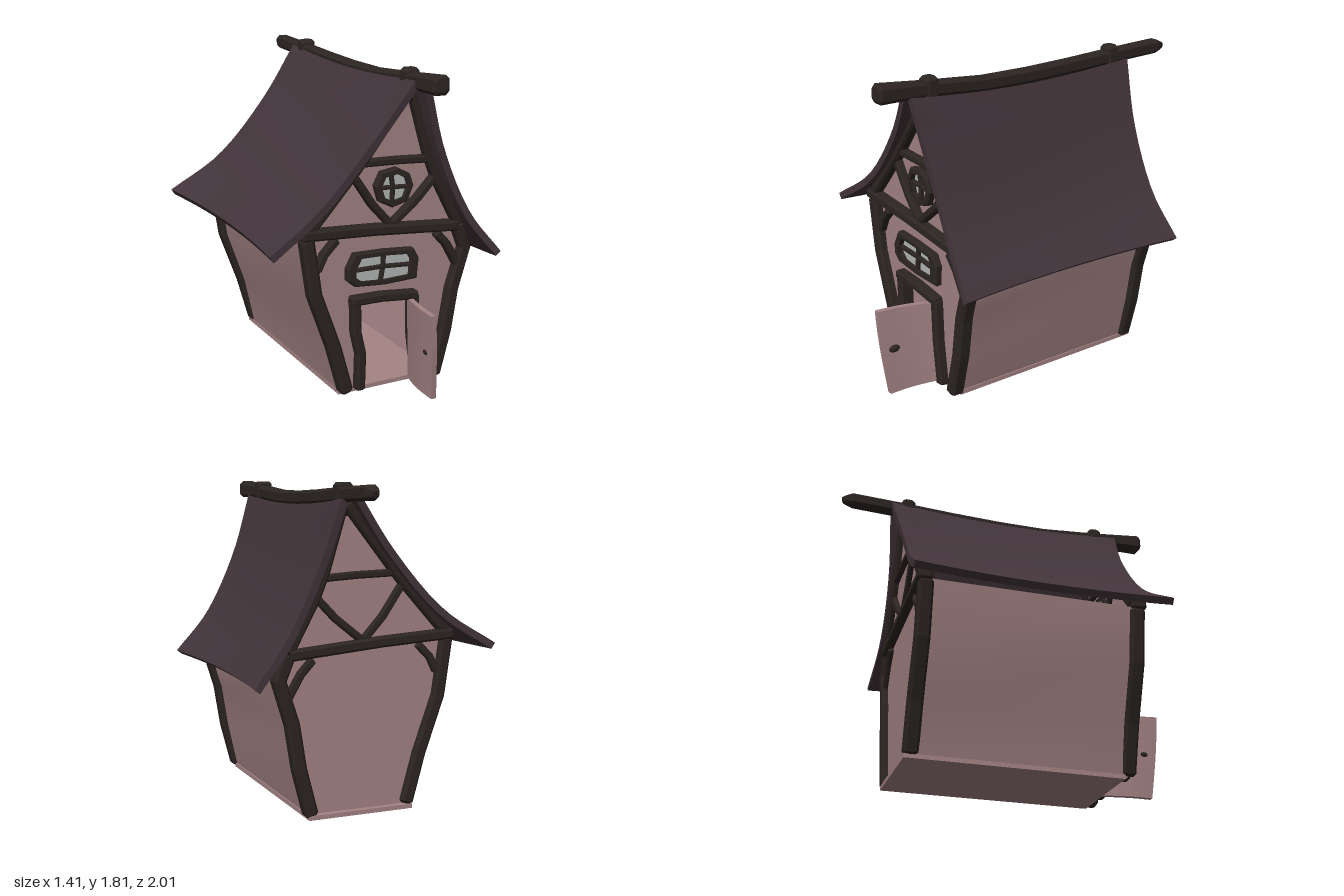
import * as THREE from 'three';

const mat = (color, flatShading = false) =>
  new THREE.MeshStandardMaterial({ color, flatShading, side: THREE.DoubleSide });
const plaster = mat(0xa58485), timber = mat(0x2c2522, true), thatch = mat(0x42343a), pane = mat(0xb4b9b8);

const FRONT = 0.645, BACK = -0.6;

function add(parent, name, geometry, material) {
  const mesh = new THREE.Mesh(geometry, material);
  mesh.name = name;
  parent.add(mesh);
  return mesh;
}

// Geometry from rings of equal length, closed around and capped at both ends
function loft(rings) {
  const n = rings[0].length, pos = rings.flat().flatMap(p => p.toArray()), idx = [];
  for (let r = 0; r < rings.length - 1; r++)
    for (let i = 0; i < n; i++) {
      const a = r * n + i, b = r * n + (i + 1) % n;
      idx.push(a, b, a + n, b, b + n, a + n);
    }
  const last = (rings.length - 1) * n;
  for (let i = 1; i < n - 1; i++) idx.push(0, i + 1, i, last, last + i, last + i + 1);
  const g = new THREE.BufferGeometry();
  g.setAttribute('position', new THREE.Float32BufferAttribute(pos, 3));
  g.setIndex(idx);
  g.computeVertexNormals();
  return g;
}

// Chamfered beam along a bent path; "across" is the axis of its depth
function beamGeometry(path, width, depth, across) {
  const w = width / 2, d = depth / 2, c = Math.min(w, d) * 0.4;
  const section = [[w, d - c], [w - c, d], [c - w, d], [-w, d - c], [-w, c - d], [c - w, -d], [w - c, -d], [w, c - d]];
  const rings = [];
  path.forEach((p, i) => {
    const into = p.clone().sub(path[Math.max(i - 1, 0)]).normalize();
    const out = path[Math.min(i + 1, path.length - 1)].clone().sub(p).normalize();
    const t = into.add(out).normalize();
    const side = new THREE.Vector3().crossVectors(across, t);
    const ring = (k, shift) => section.map(([a, b]) => p.clone()
      .addScaledVector(t, shift).addScaledVector(side, a * k).addScaledVector(across, b * k));
    if (i === 0) rings.push(ring(0.7, -c));
    rings.push(ring(1, 0));
    if (i === path.length - 1) rings.push(ring(0.7, c));
  });
  return loft(rings);
}

const Z = new THREE.Vector3(0, 0, 1), X = new THREE.Vector3(1, 0, 0);
function beam(parent, name, pts, width, z, depth = 0.085) {
  const path = pts.map(([x, y]) => new THREE.Vector3(x, y, z));
  return add(parent, name, beamGeometry(path, width, depth, Z), timber);
}

// Half-timbering shared by both gables
function gableFrame(z) {
  const g = new THREE.Group();
  g.name = z > 0 ? 'frontTimbers' : 'backTimbers';
  beam(g, 'rightPost', [[-0.215, 0.05], [-0.29, 0.32], [-0.405, 0.64], [-0.45, 0.95]], 0.075, z);
  beam(g, 'leftPost', [[0.36, 0.04], [0.425, 0.29], [0.465, 0.54], [0.54, 0.78], [0.49, 0.91]], 0.075, z);
  beam(g, 'tieBeam', [[-0.48, 0.985], [-0.05, 0.96], [0.475, 0.915]], 0.06, z + Math.sign(z) * 0.008);
  beam(g, 'rightRafter', [[-0.44, 1.0], [-0.16, 1.31], [0.15, 1.7]], 0.06, z);
  beam(g, 'leftRafter', [[0.18, 1.7], [0.285, 1.35], [0.345, 1.2], [0.49, 0.93]], 0.06, z);
  beam(g, 'collarBeam', [[-0.15, 1.335], [0.1, 1.328], [0.32, 1.315]], 0.04, z, 0.07);
  beam(g, 'rightStrut', [[-0.165, 1.255], [-0.06, 1.1], [0.05, 0.98]], 0.042, z, 0.07);
  beam(g, 'leftStrut', [[0.335, 1.22], [0.22, 1.1], [0.07, 0.98]], 0.042, z, 0.07);
  beam(g, 'rightCornerBrace', [[-0.39, 0.78], [-0.35, 0.86], [-0.28, 0.93]], 0.042, z, 0.07);
  beam(g, 'leftCornerBrace', [[0.355, 0.88], [0.42, 0.81], [0.49, 0.69]], 0.045, z, 0.07);
  return g;
}

const toShape = pts => new THREE.Shape(pts.map(([x, y]) => new THREE.Vector2(x, y)));

// Crooked eight-sided window with a frame, pane and glazing bars
function windowPart(name, pts, rim, cx, cy, bars) {
  const g = new THREE.Group();
  g.name = name;
  const inner = pts.map(([x, y]) => {
    const dx = x - cx, dy = y - cy;
    return [cx + dx * rim[0], cy + dy * rim[1]];
  });
  const ring = toShape(pts);
  ring.holes.push(toShape(inner));
  const frame = new THREE.ExtrudeGeometry(ring, {
    depth: 0.035, bevelEnabled: true, bevelSize: 0.008, bevelThickness: 0.01, bevelOffset: -0.008, bevelSegments: 1,
  });
  add(g, 'windowFrame', frame, timber).position.z = 0.632;
  add(g, 'windowPane', new THREE.ShapeGeometry(toShape(inner)), pane).position.z = 0.64;
  bars.forEach(b => beam(g, 'glazingBar', b, 0.02, 0.65, 0.03));
  return g;
}

// Sagging roof slope; stations run in +x as [x, y, front z, back z]
function roofSlope(stations, side) {
  const edge = k => new THREE.CatmullRomCurve3(stations.map(s => new THREE.Vector3(s[0], s[1], s[k])));
  const front = edge(2), back = edge(3);
  const geo = new THREE.BoxGeometry(1, 1, 1, 14, 1, 14), p = geo.attributes.position;
  for (let i = 0; i < p.count; i++) {
    const t = p.getX(i) + 0.5, v = p.getZ(i), down = side > 0 ? t : 1 - t;
    const at = back.getPoint(t).lerp(front.getPoint(t), v + 0.5);
    const tan = front.getTangent(t).setZ(0).normalize();
    const sag = 1 - 4 * v * v, depth = (0.5 - p.getY(i)) * 0.04;
    p.setXYZ(i,
      at.x + tan.y * depth - side * 0.045 * sag * down * down,
      at.y - tan.x * depth - 0.04 * sag * (1 - down) ** 2, at.z);
  }
  geo.computeVertexNormals();
  return geo;
}

export function createModel() {
  const house = new THREE.Group();
  house.name = 'crookedCottage';

  // Walls: gables from an outline, the front one notched for the doorway
  const upper = [[0.37, 0.02], [0.43, 0.29], [0.47, 0.54], [0.545, 0.78], [0.5, 0.92], [0.29, 1.35], [0.165, 1.69],
    [-0.16, 1.32], [-0.46, 0.97], [-0.41, 0.64], [-0.3, 0.32], [-0.235, 0.02]];
  const doorway = [[-0.13, 0.02], [-0.125, 0.25], [-0.16, 0.38], [-0.165, 0.56], [0.21, 0.55], [0.215, 0.3], [0.25, 0.02]];
  add(house, 'frontWall', new THREE.ShapeGeometry(toShape([...upper, ...doorway])), plaster).position.z = 0.635;
  const backGeo = new THREE.ShapeGeometry(toShape(upper)).rotateY(Math.PI).scale(-1, 1, 1);
  const ix = backGeo.index;
  for (let i = 0; i < ix.count; i += 3) {
    const a = ix.getX(i);
    ix.setX(i, ix.getX(i + 1));
    ix.setX(i + 1, a);
  }
  add(house, 'backWall', backGeo, plaster).position.z = -0.605;
  [['leftWall', upper.slice(0, 5)], ['rightWall', upper.slice(8)]].forEach(([name, line]) => {
    const geo = new THREE.PlaneGeometry(1, 1, line.length - 1, 1), p = geo.attributes.position;
    for (let i = 0; i < p.count; i++) {
      const [x, y] = line[i % line.length];
      p.setXYZ(i, x, y, i < line.length ? -0.605 : 0.635);
    }
    geo.computeVertexNormals();
    add(house, name, geo, plaster);
  });
  add(house, 'floor', new THREE.BoxGeometry(0.62, 0.025, 1.26), plaster).position.set(0.07, 0.022, -0.01);

  house.add(gableFrame(FRONT), gableFrame(BACK));

  // Door frame
  beam(house, 'doorRightJamb', [[-0.16, 0.56], [-0.155, 0.38], [-0.125, 0.25], [-0.13, 0.045]], 0.055, FRONT);
  beam(house, 'doorLeftJamb', [[0.21, 0.54], [0.218, 0.3], [0.25, 0.045]], 0.055, FRONT);
  beam(house, 'doorLintel', [[-0.18, 0.57], [0, 0.567], [0.22, 0.545]], 0.05, FRONT + 0.005);

  // Warped door standing open
  const doorGeo = new THREE.BoxGeometry(1, 1, 1, 1, 8, 8), dp = doorGeo.attributes.position;
  for (let i = 0; i < dp.count; i++) {
    const u = dp.getZ(i) + 0.5, v = dp.getY(i) + 0.5;
    const reach = 0.96 + 0.06 * v - 0.02 * v * v * v;
    dp.setXYZ(i,
      0.2 - 0.015 * v - u * (0.03 + 0.025 * v) - 0.012 * Math.sin(Math.PI * u) + dp.getX(i) * 0.03,
      0.04 + v * (0.485 + 0.02 * Math.sqrt(u)), THREE.MathUtils.lerp(0.66, reach, u));
  }
  doorGeo.computeVertexNormals();
  add(house, 'door', doorGeo, plaster);
  const knob = add(house, 'doorKnob', new THREE.SphereGeometry(1, 12, 8), timber);
  knob.scale.set(0.028, 0.024, 0.037);
  knob.position.set(0.157, 0.305, 0.915);

  // Windows
  house.add(windowPart('roundWindow',
    [[-0.048, 1.2], [-0.01, 1.275], [0.09, 1.29], [0.165, 1.25], [0.19, 1.18], [0.155, 1.095], [0.06, 1.07], [-0.02, 1.11]],
    [0.76, 0.76], 0.07, 1.18, [[[0.055, 1.27], [0.07, 1.18], [0.065, 1.09]], [[-0.03, 1.185], [0.07, 1.18], [0.16, 1.175]]]));
  house.add(windowPart('wideWindow',
    [[-0.215, 0.755], [-0.17, 0.84], [0.02, 0.835], [0.2, 0.82], [0.235, 0.76], [0.225, 0.64], [0.02, 0.635], [-0.165, 0.65], [-0.215, 0.69]],
    [0.8, 0.78], 0.01, 0.737, [[[0.02, 0.825], [0.015, 0.737], [0, 0.65]], [[-0.18, 0.74], [0.015, 0.737], [0.21, 0.722]]]));

  // Roof slopes
  add(house, 'rightRoof', roofSlope([[-0.71, 0.93, 0.76, -0.72], [-0.4, 1.13, 0.72, -0.685],
    [-0.1, 1.46, 0.73, -0.675], [0.13, 1.785, 0.78, -0.7]], -1), thatch);
  add(house, 'leftRoof', roofSlope([[0.215, 1.735, 0.785, -0.69], [0.335, 1.37, 0.75, -0.66],
    [0.515, 1.0, 0.75, -0.66], [0.705, 0.76, 0.785, -0.69]], 1), thatch);

  // Sagging ridge beam with a thick front end, and the post heads that clasp it
  const ridge = [[0.95, 1.77], [0.65, 1.757], [0.3, 1.73], [0, 1.73], [-0.3, 1.74], [-0.6, 1.755], [-0.94, 1.768], [-0.985, 1.76]];
  const ridgeGeo = beamGeometry(ridge.map(([z, y]) => new THREE.Vector3(0.165, y, z)), 0.08, 0.078, X);
  const rp = ridgeGeo.attributes.position;
  for (let i = 0; i < rp.count; i++) {
    const z = rp.getZ(i), k = z > 0.9 ? 1.3 : z < -0.96 ? 0.6 : 1;
    rp.setX(i, 0.165 + (rp.getX(i) - 0.165) * k);
    if (k !== 1) rp.setY(i, 1.765 + (rp.getY(i) - 1.765) * k);
  }
  add(house, 'ridgeBeam', ridgeGeo, timber);
  [FRONT, -0.592].forEach(z =>
    beam(house, 'ridgePostHead', [[0.165, 1.66], [0.165, 1.805]], 0.092, z, 0.082));

  return house;
}
